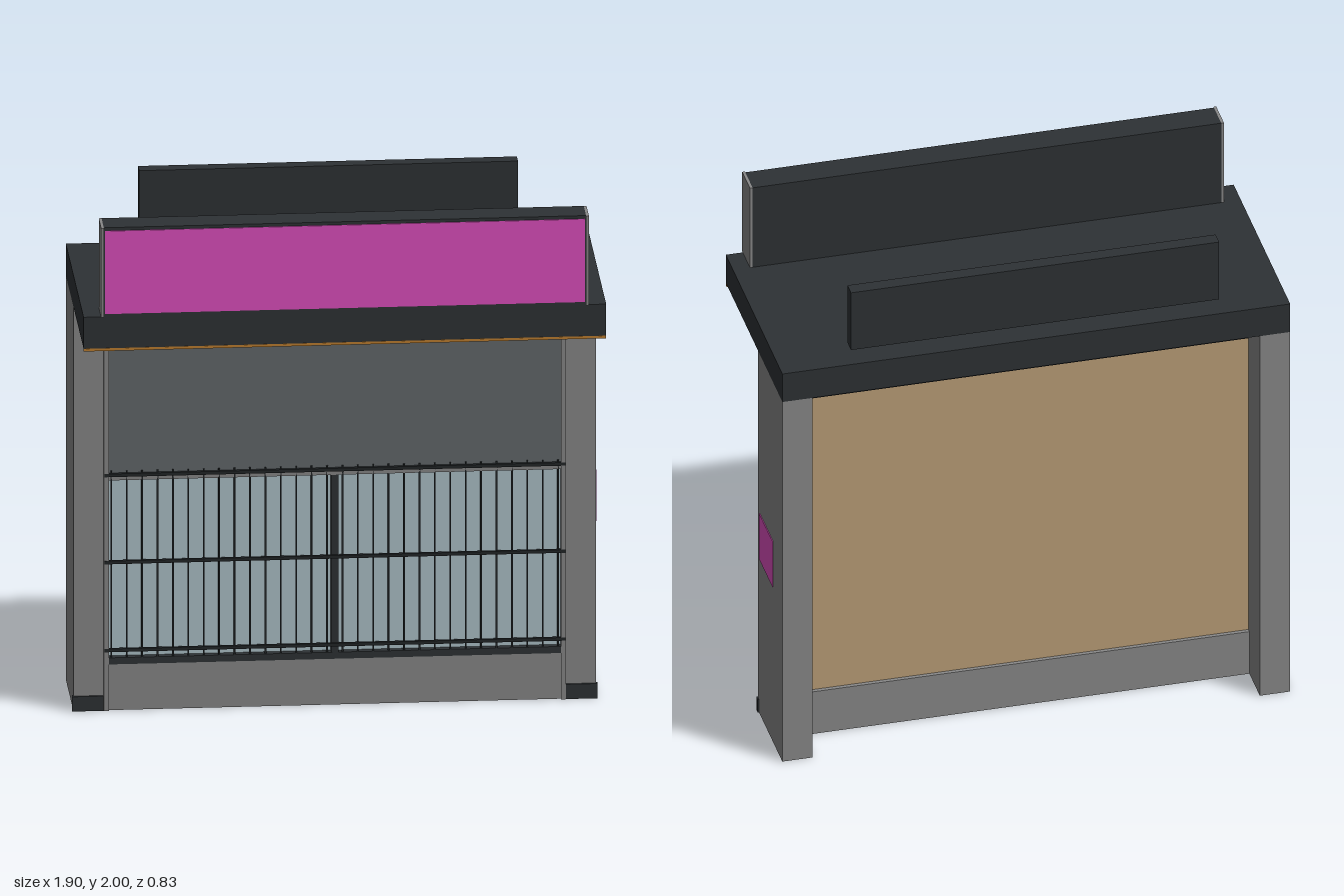
import * as THREE from 'three';

const mat = (color) => new THREE.MeshStandardMaterial({ color, flatShading: true });

export function createModel() {
  const root = new THREE.Group();
  root.name = 'shopFront';

  const stone = mat(0x8a8a8a);
  const dark = mat(0x2e3235);
  const iron = mat(0x222628);
  const pink = mat(0xe050c0);
  const glass = mat(0xb0c4cc);
  const shutterGrey = mat(0x646a6d);
  const tan = mat(0xbca078);
  const amber = mat(0xc08030);

  // Box given by its minimum and maximum along each axis
  const box = (name, material, [x0, x1], [y0, y1], [z0, z1], parent = root) => {
    const mesh = new THREE.Mesh(new THREE.BoxGeometry(x1 - x0, y1 - y0, z1 - z0), material);
    mesh.position.set((x0 + x1) / 2, (y0 + y1) / 2, (z0 + z1) / 2);
    mesh.name = name;
    parent.add(mesh);
    return mesh;
  };
  const wide = (w) => [-w, w];
  const side = (s, a, b) => (s > 0 ? [a, b] : [-b, -a]);

  // Side pillars with shoes and shutter guides
  for (const s of [1, -1]) {
    const label = s > 0 ? 'left' : 'right';
    box(label + 'Pillar', stone, side(s, 0.832, 0.945), [0, 1.54], [-0.412, -0.06]);
    box(label + 'PillarShoe', dark, side(s, 0.836, 0.95), [0, 0.056], [-0.072, -0.052]);
    box(label + 'ShutterGuide', stone, side(s, 0.818, 0.836), [0, 1.43], [-0.085, -0.05]);
  }

  // Wall parts between the pillars
  box('sill', stone, wide(0.832), [0, 0.18], [-0.26, -0.058]);
  box('header', dark, wide(0.834), [1.43, 1.54], [-0.25, -0.054]);
  box('backPanel', tan, wide(0.832), [0.18, 1.43], [-0.245, -0.235]);
  box('shutter', shutterGrey, wide(0.82), [0.89, 1.43], [-0.085, -0.065]);

  // Window
  const win = new THREE.Group();
  win.name = 'window';
  root.add(win);
  box('glass', glass, wide(0.82), [0.18, 0.89], [-0.095, -0.08], win);
  box('windowTopFrame', stone, wide(0.82), [0.875, 0.895], [-0.085, -0.058], win);
  box('windowBottomFrame', dark, wide(0.82), [0.175, 0.2], [-0.085, -0.055], win);
  box('mullion', dark, wide(0.013), [0.2, 0.875], [-0.085, -0.058], win);

  // Security grille
  const grille = new THREE.Group();
  grille.name = 'grille';
  root.add(grille);
  const bars = 30;
  for (let i = 0; i < bars; i++) {
    const x = -0.808 + (1.616 * i) / (bars - 1);
    box('grilleBar', iron, [x - 0.003, x + 0.003], [0.19, 0.91], [-0.064, -0.058], grille);
  }
  for (const y of [0.23, 0.565, 0.897]) {
    box('grilleRail', iron, wide(0.834), [y - 0.006, y + 0.006], [-0.06, -0.048], grille);
  }

  // Canopy with its edge strip and downlights
  box('canopy', dark, wide(0.945), [1.54, 1.66], [-0.413, 0.41]);
  box('canopyEdgeStrip', amber, wide(0.945), [1.53, 1.54], [0.398, 0.411]);
  for (const x of [-0.55, 0, 0.55]) {
    const lamp = new THREE.Mesh(new THREE.CylinderGeometry(0.035, 0.035, 0.008, 20), dark);
    lamp.position.set(x, 1.536, 0.105);
    lamp.name = 'downlight';
    root.add(lamp);
  }

  // Front fascia sign
  box('fasciaBody', dark, wide(0.872), [1.66, 2], [0.305, 0.412]);
  box('fasciaFace', pink, wide(0.868), [1.672, 1.988], [0.41, 0.416]);
  for (const s of [1, -1]) {
    box('fasciaEndCap', stone, side(s, 0.872, 0.882), [1.66, 2], [0.305, 0.418]);
  }

  // Rear board above the canopy and the side plaque
  box('rearBoard', dark, wide(0.685), [1.71, 1.955], [-0.395, -0.343]);
  box('sidePlaque', pink, [0.944, 0.948], [0.665, 0.86], [-0.278, -0.085]);

  return root;
}
